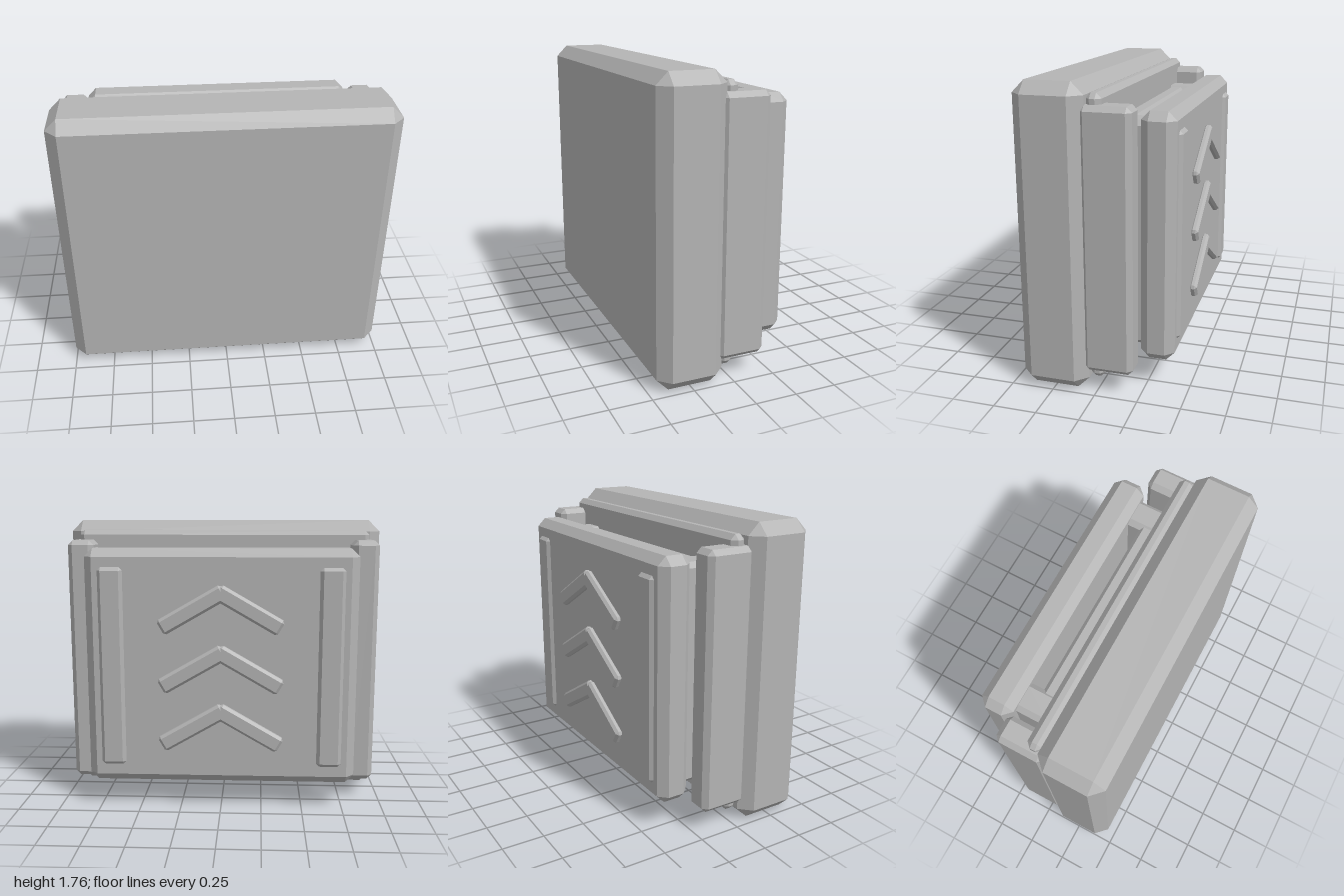
import * as THREE from 'three';
import { ConvexGeometry } from 'three/addons/geometries/ConvexGeometry.js';

const grey = new THREE.MeshStandardMaterial({ color: 0xb4b4b4 });
grey.name = 'plain grey';

// Box with every edge chamfered by b: hull of the six inset faces
function chamferBox(w, h, d, b) {
  const half = [w / 2, h / 2, d / 2];
  const points = [];
  for (const sx of [-1, 1]) for (const sy of [-1, 1]) for (const sz of [-1, 1]) {
    for (let axis = 0; axis < 3; axis++) {
      const p = half.map((v, i) => (i === axis ? v : v - b));
      points.push(new THREE.Vector3(sx * p[0], sy * p[1], sz * p[2]));
    }
  }
  return new ConvexGeometry(points);
}

export function createModel() {
  const group = new THREE.Group();
  group.name = 'armourPanel';

  // Adds a chamfered block given by its extents on each axis
  function block(name, [x0, x1], [y0, y1], [z0, z1], b) {
    const mesh = new THREE.Mesh(chamferBox(x1 - x0, y1 - y0, z1 - z0, b), grey);
    mesh.position.set((x0 + x1) / 2, (y0 + y1) / 2, (z0 + z1) / 2);
    mesh.name = name;
    group.add(mesh);
    return mesh;
  }

  // Layered plates from front to back
  block('frontSlab', [-1, 1], [0, 1.76], [0.05, 0.45], 0.07);
  block('backingPlate', [-0.92, 0.92], [0.065, 1.7], [-0.035, 0.055], 0.03);
  block('innerPanel', [-0.71, 0.71], [0.23, 1.53], [-0.135, -0.03], 0.022);
  block('backPlate', [-0.82, 0.82], [0.16, 1.6], [-0.41, -0.21], 0.05);

  for (const s of [-1, 1]) {
    const side = s > 0 ? 'left' : 'right';
    const span = (a, b) => (s > 0 ? [a, b] : [-b, -a]);
    // Outer rails, spacers between the plates, raised back strips
    block(side + 'Rail', span(0.8, 0.96), [0.12, 1.64], [-0.21, 0.08], 0.03);
    block(side + 'Spacer', span(0.57, 0.75), [0.22, 1.54], [-0.24, -0.01], 0.03);
    block(side + 'Strip', span(0.585, 0.735), [0.275, 1.49], [-0.43, -0.38], 0.02);

    // One arm of each chevron
    for (const y of [1.24, 0.88, 0.52]) {
      const arm = block(side + 'ChevronArm', [-0.22, 0.22], [-0.05, 0.05], [-0.45, -0.4], 0.016);
      arm.position.x = s * 0.17;
      arm.position.y = y;
      arm.rotation.z = -s * Math.PI / 6;
    }
  }
  return group;
}
